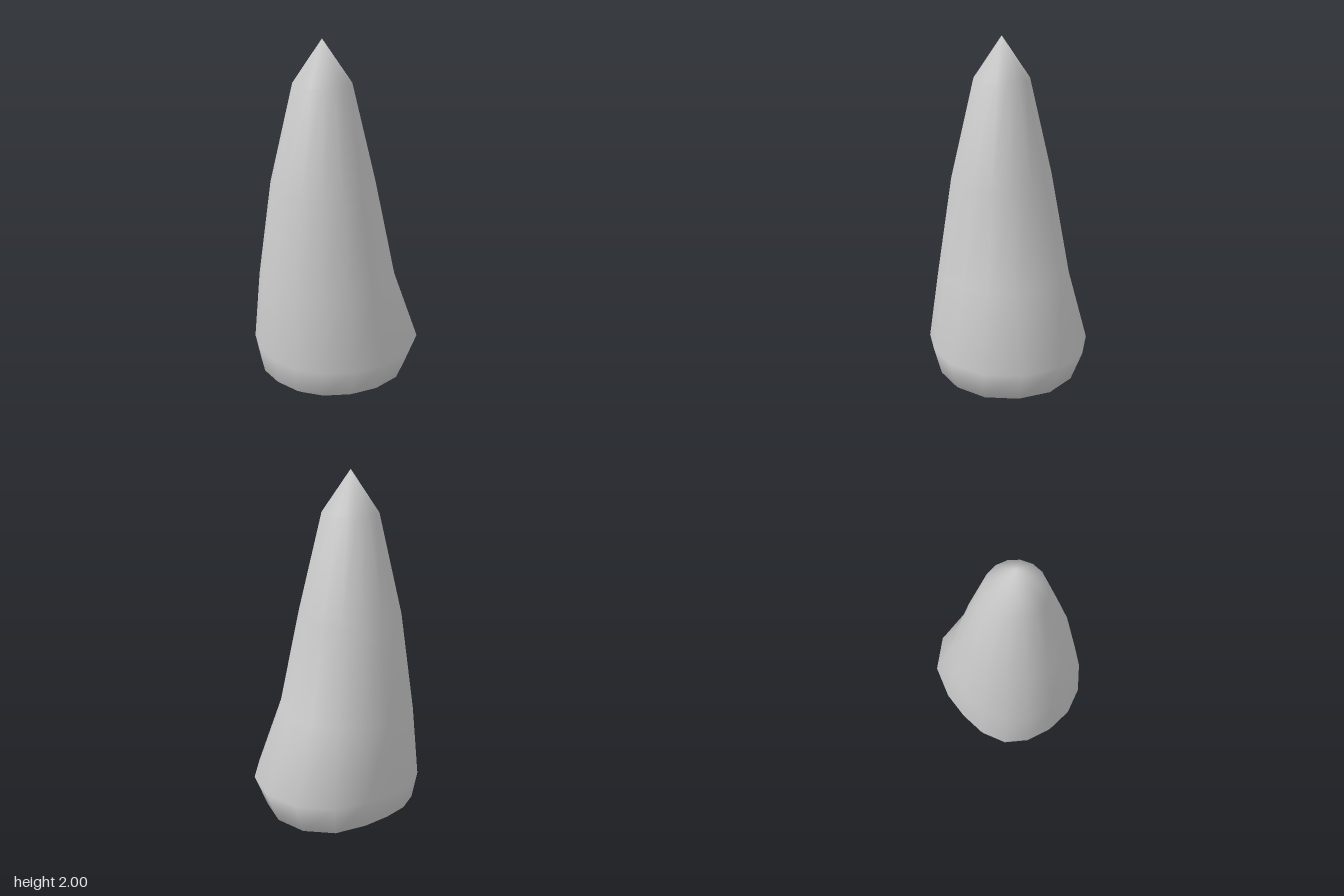
import * as THREE from 'three';

// Bulge weight around the body, starting at the back and turning through +x, front, -x
const BULGE = [1, 0.97, 0.89, 0.69, 0.43, 0.25, 0.14, 0.06, 0, 0.03, 0.09, 0.03, 0.03, 0.25, 0.66, 0.91];
const AXIS = { x: -0.04, z: 0.085 };

// Rings from the base upwards: height, radius, extra radius at the bulge, drop at the bulge
const RINGS = [
  { y: 0.033, r: 0.292, bulge: 0.075, drop: 0.025 },
  { y: 0.095, r: 0.37, bulge: 0.125, drop: 0.035 },
  { y: 0.25, r: 0.395, bulge: 0.175, drop: 0 },
  { y: 0.66, r: 0.367, bulge: 0.045, drop: 0 },
  { y: 1.22, r: 0.29, bulge: 0, drop: 0 },
  { y: 1.77, r: 0.158, bulge: 0, drop: 0 },
];

function spikeGeometry() {
  const n = BULGE.length;
  const positions = [];
  const index = [];
  for (const { y, r, bulge, drop } of RINGS) {
    BULGE.forEach((w, i) => {
      const a = (i / n) * Math.PI * 2;
      const radius = r + bulge * w;
      positions.push(AXIS.x + radius * Math.sin(a), y - drop * w, AXIS.z - radius * Math.cos(a));
    });
  }
  // Tip and underside centre
  const tip = RINGS.length * n;
  const base = tip + 1;
  positions.push(AXIS.x, 2, AXIS.z, AXIS.x + 0.03, 0, AXIS.z - 0.03);

  const last = (RINGS.length - 1) * n;
  for (let i = 0; i < n; i++) {
    const j = (i + 1) % n;
    for (let k = 0; k < RINGS.length - 1; k++) {
      const a = k * n + i, b = k * n + j, c = a + n, d = b + n;
      index.push(a, c, b, b, c, d);
    }
    index.push(last + i, tip, last + j);
    index.push(i, j, base);
  }

  const geometry = new THREE.BufferGeometry();
  geometry.setAttribute('position', new THREE.Float32BufferAttribute(positions, 3));
  geometry.setIndex(index);
  geometry.computeVertexNormals();
  return geometry;
}

export function createModel() {
  const group = new THREE.Group();
  group.name = 'spike';
  const body = new THREE.Mesh(spikeGeometry(), new THREE.MeshStandardMaterial({ color: 0xcccccc }));
  body.name = 'spikeBody';
  group.add(body);
  return group;
}
